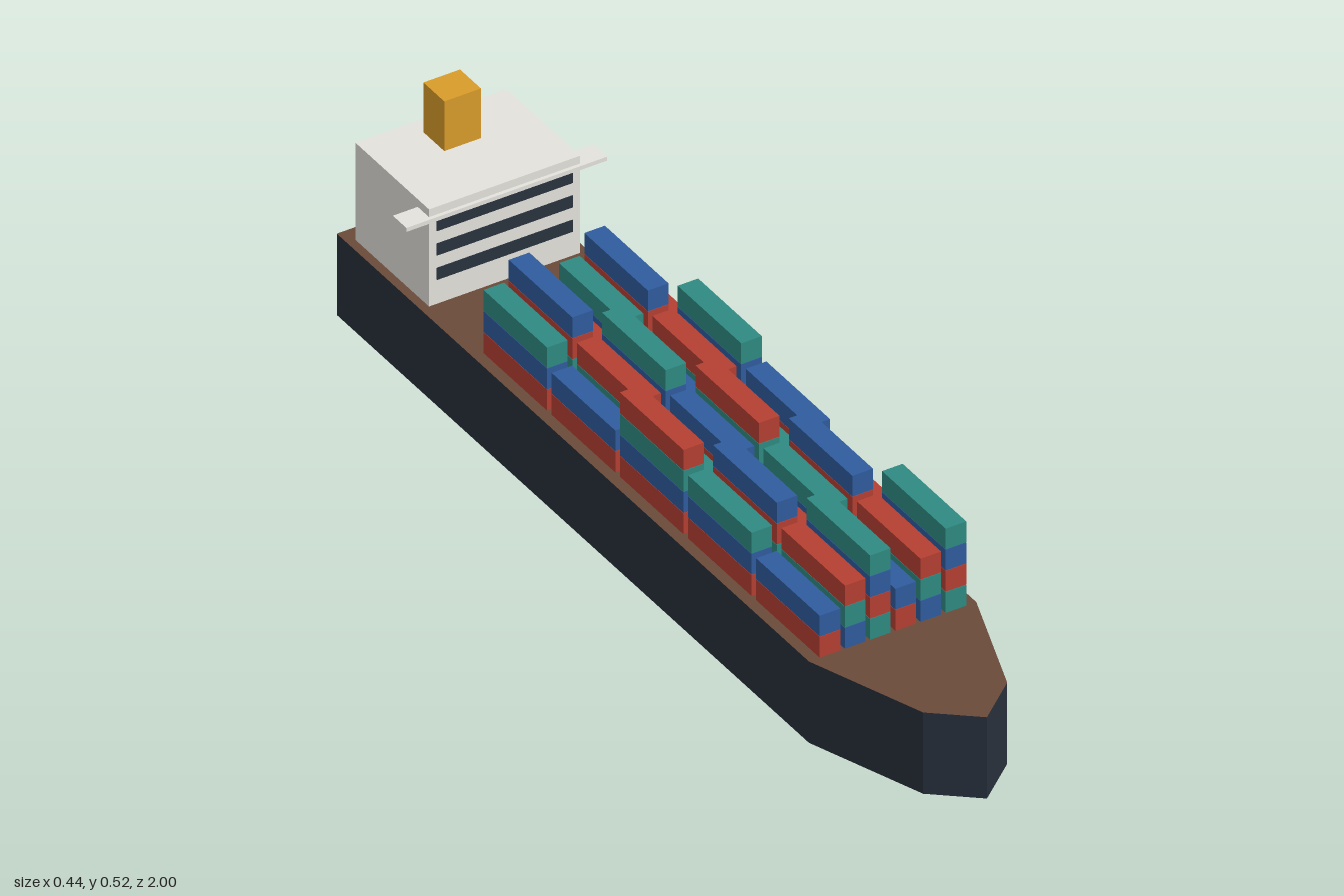
import * as THREE from 'three';

const mat = (name, color, side = THREE.FrontSide) => {
  const m = new THREE.MeshStandardMaterial({ color, side });
  m.name = name;
  return m;
};

export function createModel() {
  const ship = new THREE.Group();
  ship.name = 'containerShip';

  const hullNavy = mat('hullNavy', 0x28303b, THREE.DoubleSide);
  const deckBrown = mat('deckBrown', 0x6b4a3a, THREE.DoubleSide);
  const houseGrey = mat('houseGrey', 0xe4e2dc);
  const windowDark = mat('windowDark', 0x28323e);
  const funnelYellow = mat('funnelYellow', 0xd89c2a);
  const red = mat('containerRed', 0xb53f32);
  const blue = mat('containerBlue', 0x305c9e);
  const teal = mat('containerTeal', 0x2f8a82);

  const add = (name, geometry, material, parent = ship) => {
    const mesh = new THREE.Mesh(geometry, material);
    mesh.name = name;
    parent.add(mesh);
    return mesh;
  };
  const box = (name, w, h, d, x, y, z, material, parent) => {
    add(name, new THREE.BoxGeometry(w, h, d), material, parent).position.set(x, y, z);
  };

  // Plan outline (x, z), from the bow down the left side and back up the right
  const deckY = 0.185;
  const outline = [
    [0, 1], [0.093, 0.923], [0.185, 0.667], [0.185, -1],
    [-0.185, -1], [-0.185, 0.667], [-0.093, 0.923],
  ];

  // Hull walls, open underneath
  const walls = [];
  outline.forEach(([ax, az], i) => {
    const [bx, bz] = outline[(i + 1) % outline.length];
    walls.push(ax, 0, az, bx, 0, bz, bx, deckY, bz);
    walls.push(ax, 0, az, bx, deckY, bz, ax, deckY, az);
  });
  const wallGeometry = new THREE.BufferGeometry();
  wallGeometry.setAttribute('position', new THREE.Float32BufferAttribute(walls, 3));
  wallGeometry.computeVertexNormals();
  add('hullWalls', wallGeometry, hullNavy);

  // Deck
  const plan = new THREE.Shape(outline.map(([x, z]) => new THREE.Vector2(x, -z)));
  const deckGeometry = new THREE.ShapeGeometry(plan).rotateX(-Math.PI / 2);
  add('deck', deckGeometry, deckBrown).position.y = deckY;

  // Deckhouse with bridge wing, window strips and funnel
  const house = new THREE.Group();
  house.name = 'deckhouse';
  ship.add(house);
  box('houseBlock', 0.334, 0.221, 0.26, 0, 0.2965, -0.833, houseGrey, house);
  box('bridgeWing', 0.444, 0.009, 0.048, 0, 0.385, -0.719, houseGrey, house);
  for (let i = 0; i < 3; i++) {
    box('windowStrip', 0.3, 0.027, 0.004, 0, 0.2545 + i * 0.0555, -0.7035, windowDark, house);
  }
  box('funnel', 0.081, 0.113, 0.074, 0, 0.4635, -0.888, funnelYellow, house);

  // Container stacks: five bays from the bow, six across, two to four high
  const cargo = new THREE.Group();
  cargo.name = 'cargo';
  ship.add(cargo);
  const paints = [red, blue, teal];
  const boxH = 0.0472;
  const pitchY = 0.0482;
  const containerGeometry = new THREE.BoxGeometry(0.0455, boxH, 0.2245);
  for (let bay = 0; bay < 5; bay++) {
    for (let col = 0; col < 6; col++) {
      const layers = 2 + ((bay + col) % 3);
      for (let layer = 0; layer < layers; layer++) {
        add('container', containerGeometry, paints[(col + layer) % 3], cargo).position.set(
          (col - 2.5) * 0.0557,
          deckY + 0.001 + boxH / 2 + pitchY * layer,
          0.556 - bay * 0.2406,
        );
      }
    }
  }

  return ship;
}
